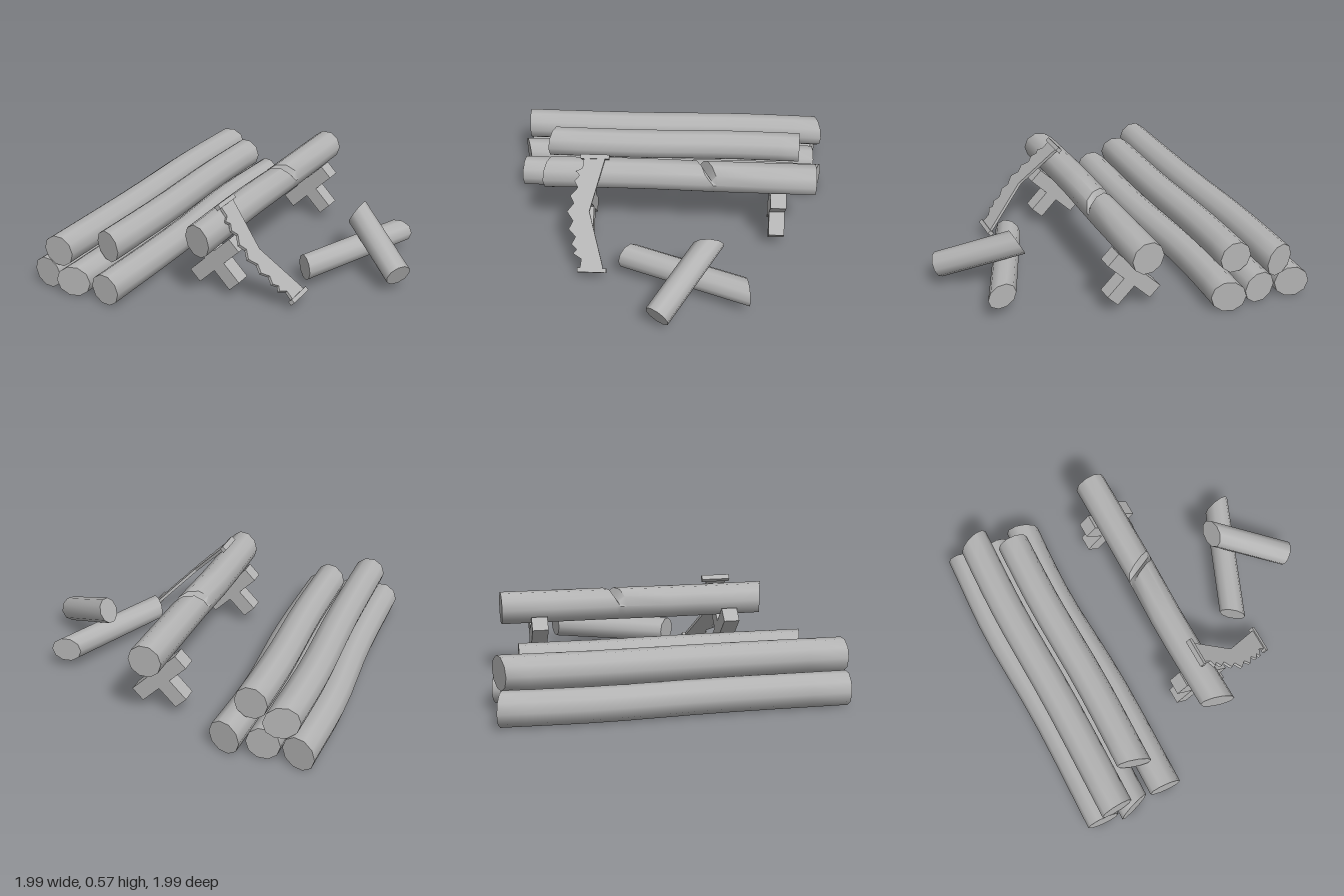
import * as THREE from 'three';
import { toCreasedNormals } from 'three/addons/utils/BufferGeometryUtils.js';

const V = (x, y, z) => new THREE.Vector3(x, y, z);
const SIDES = 10;

// Log through rings { p: centre, n: cut-plane normal, top: height the wood is cut down to }
function logGeometry(rings, radius) {
  const axis = rings.at(-1).p.clone().sub(rings[0].p).normalize();
  const u = V(0, 1, 0).cross(axis).normalize();
  const v = axis.clone().cross(u);
  const pos = [], index = [];
  for (const { p, n = axis, top = Infinity } of rings) {
    for (let j = 0; j < SIDES; j++) {
      const a = (j + 0) / SIDES * Math.PI * 2;
      const off = u.clone().multiplyScalar(Math.cos(a) * radius).addScaledVector(v, Math.sin(a) * radius);
      off.addScaledVector(axis, -off.dot(n) / axis.dot(n)).add(p);
      pos.push(off.x, Math.min(off.y, top), off.z);
    }
  }
  const last = (rings.length - 1) * SIDES;
  for (let i = 0; i < last; i += SIDES) {
    for (let j = 0; j < SIDES; j++) {
      const k = (j + 1) % SIDES;
      index.push(i + j, i + k, i + SIDES + k, i + j, i + SIDES + k, i + SIDES + j);
    }
  }
  // sawn ends
  for (let j = 1; j < SIDES - 1; j++) index.push(0, j + 1, j, last, last + j, last + j + 1);
  const g = new THREE.BufferGeometry();
  g.setAttribute('position', new THREE.Float32BufferAttribute(pos, 3));
  g.setIndex(index);
  return toCreasedNormals(g, 0.8);
}

// Cut plane whose z changes by s per unit of x
const cut = (s) => V(-s, 0, 1);

// Gently bent log along z: points run from back to front
function bentRings(points, y, backSlope, frontSlope) {
  const curve = new THREE.CatmullRomCurve3(points.map(([x, z]) => V(x, y, z)));
  const rings = curve.getPoints(10).map((p) => ({ p }));
  rings[0].n = cut(backSlope);
  rings.at(-1).n = cut(frontSlope);
  return rings;
}

export function createModel() {
  const model = new THREE.Group();
  model.name = 'loggingYard';
  const grey = new THREE.MeshStandardMaterial({ color: 0xb4b4b4 });
  grey.name = 'plainGrey';
  const add = (name, geometry, parent = model) => {
    const mesh = new THREE.Mesh(geometry, grey);
    mesh.name = name;
    parent.add(mesh);
    return mesh;
  };

  // Log pile: three below, two on top
  const pile = new THREE.Group();
  pile.name = 'logPile';
  model.add(pile);
  const low = 0.1, high = 0.268;
  [
    [[[-0.877, -0.97], [-0.898, -0.45], [-0.872, 0.2], [-0.877, 0.945]], low, 0.3, 0.06],
    [[[-0.675, -0.95], [-0.685, -0.45], [-0.67, 0.2], [-0.677, 0.96]], low, -0.06, -0.32],
    [[[-0.46, -0.97], [-0.482, -0.45], [-0.453, 0.2], [-0.46, 0.948]], low, 0.32, 0.08],
    [[[-0.78, -0.97], [-0.793, -0.45], [-0.777, 0.2], [-0.78, 0.947]], high, -0.32, -0.04],
    [[[-0.567, -0.848], [-0.575, -0.4], [-0.56, 0.2], [-0.567, 0.762]], high, 0.03, 0.32],
  ].forEach(([points, y, back, front]) =>
    add('pileLog', logGeometry(bentRings(points, y, back, front), 0.097), pile));

  // Log on the sawhorses, with a slanting saw notch in its top
  const y = 0.43, slant = cut(-0.5);
  add('logBeingSawn', logGeometry([
    { p: V(0.025, y, -0.905), n: cut(-0.03) },
    { p: V(0.024, y, -0.6) },
    { p: V(0.022, y, -0.268), n: slant },
    { p: V(0.021, y, -0.243), n: slant, top: 0.45 },
    { p: V(0.02, y, -0.205), n: slant },
    { p: V(0.012, y, 0.1) },
    { p: V(0.012, y, 0.3) },
    { p: V(0.02, y, 0.705), n: cut(0.31) },
  ], 0.097));

  // Crossed-beam sawhorses
  for (const z of [-0.685, 0.482]) {
    const horse = new THREE.Group();
    horse.name = 'sawhorse';
    horse.position.set(0.02, 0.223, z);
    for (const side of [-1, 1]) {
      add('crossBeam', new THREE.BoxGeometry(0.378, 0.092, 0.095), horse).rotation.z = side * Math.PI / 4;
    }
    model.add(horse);
  }

  // Two short cut logs, one leaning on the other
  add('cutLogLying', logGeometry([
    { p: V(0.44, 0.137, 0.2), n: V(0.1, 0, -0.12) },
    { p: V(0.73, 0.137, -0.505), n: V(-0.03, 0, -0.18) },
  ], 0.077));
  add('cutLogLeaning', logGeometry([
    { p: V(0.55, 0.327, -0.275), n: V(0.88, -0.46, 0) },
    { p: V(0.95, 0.127, 0) },
  ], 0.077));

  // Two-handed saw leaning against the log
  const saw = new THREE.Group();
  saw.name = 'saw';
  saw.position.set(0.035, 0.557, 0);
  saw.rotation.z = -0.795;
  model.add(saw);
  const outline = [
    [0, 0.36], [0.02, 0.362], [0.33, 0.44], [0.65, 0.348], [0.675, 0.345],
    [0.675, 0.48], [0.615, 0.475], [0.585, 0.525], [0.56, 0.505], [0.53, 0.537], [0.485, 0.515],
    [0.44, 0.558], [0.39, 0.535], [0.335, 0.573], [0.285, 0.535], [0.24, 0.558],
    [0.19, 0.515], [0.15, 0.537], [0.115, 0.508], [0.09, 0.53], [0.07, 0.492], [0, 0.485],
  ].map(([a, b]) => new THREE.Vector2(a, b));
  const blade = new THREE.ExtrudeGeometry(new THREE.Shape(outline), { depth: 0.018, bevelEnabled: false });
  blade.translate(0, 0, -0.009).rotateX(Math.PI / 2);
  add('sawBlade', blade, saw);
  add('sawHandle', new THREE.BoxGeometry(0.026, 0.032, 0.172), saw).position.set(0, 0, 0.42);
  add('sawHandle', new THREE.BoxGeometry(0.026, 0.032, 0.172), saw).position.set(0.68, 0, 0.41);

  return model;
}
